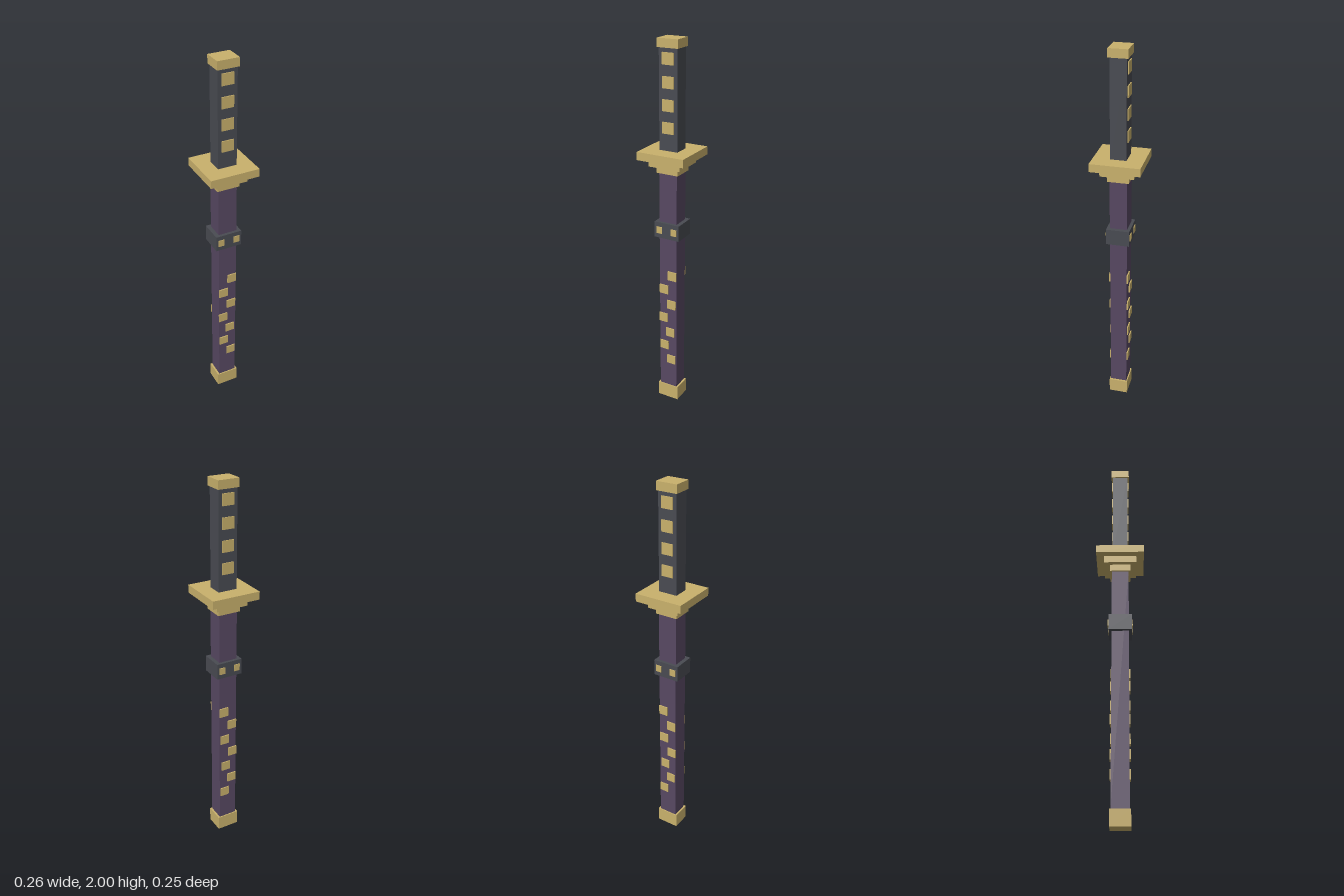
import * as THREE from 'three';

export function createModel() {
  const model = new THREE.Group();
  model.name = 'sheathedSword';

  const material = (name, color) => {
    const m = new THREE.MeshStandardMaterial({ color });
    m.name = name;
    return m;
  };
  const gold = material('gold', 0xc9b16c);
  const charcoal = material('charcoal', 0x494b52);
  const purple = material('purple', 0x574862);

  // Box centred on the sword's axis, spanning y0 to y1
  function block(name, mat, width, depth, y0, y1) {
    const mesh = new THREE.Mesh(new THREE.BoxGeometry(width, y1 - y0, depth), mat);
    mesh.name = name;
    mesh.position.y = (y0 + y1) / 2;
    model.add(mesh);
  }

  // Thin gold squares on both the front and the back of a part
  function studs(name, spots, width, height, surfaceZ, thickness) {
    const group = new THREE.Group();
    group.name = name;
    const geometry = new THREE.BoxGeometry(width, height, thickness);
    for (const [x, y] of spots) {
      for (const side of [1, -1]) {
        const stud = new THREE.Mesh(geometry, gold);
        stud.name = side > 0 ? 'frontStud' : 'backStud';
        stud.position.set(x, y, side * (surfaceZ + thickness / 2));
        group.add(stud);
      }
    }
    model.add(group);
  }

  // Scabbard with end cap and cord band
  block('scabbardCap', gold, 0.122, 0.102, 0, 0.08);
  block('scabbard', purple, 0.101, 0.09, 0.08, 1.34);
  block('cordBand', charcoal, 0.143, 0.122, 0.99, 1.075);

  // Stepped guard
  block('guardCollar', gold, 0.122, 0.111, 1.34, 1.377);
  block('guardStep', gold, 0.175, 0.173, 1.377, 1.415);
  block('guardPlate', gold, 0.26, 0.255, 1.415, 1.457);

  // Grip and pommel
  block('grip', charcoal, 0.101, 0.082, 1.457, 1.957);
  block('pommel', gold, 0.113, 0.098, 1.957, 2);

  // Gold inlays
  studs('gripInlays', [1.907, 1.795, 1.684, 1.573].map((y) => [0, y]), 0.063, 0.058, 0.041, 0.005);
  studs('bandInlays', [[-0.0425, 1.033], [0.0425, 1.033]], 0.033, 0.036, 0.061, 0.004);
  const offsets = [0.025, -0.024, 0.021, -0.027, 0.014, -0.023, 0.021];
  studs('scabbardInlays', offsets.map((x, i) => [x, 0.773 - i * 0.0865]), 0.051, 0.051, 0.045, 0.006);

  return model;
}
